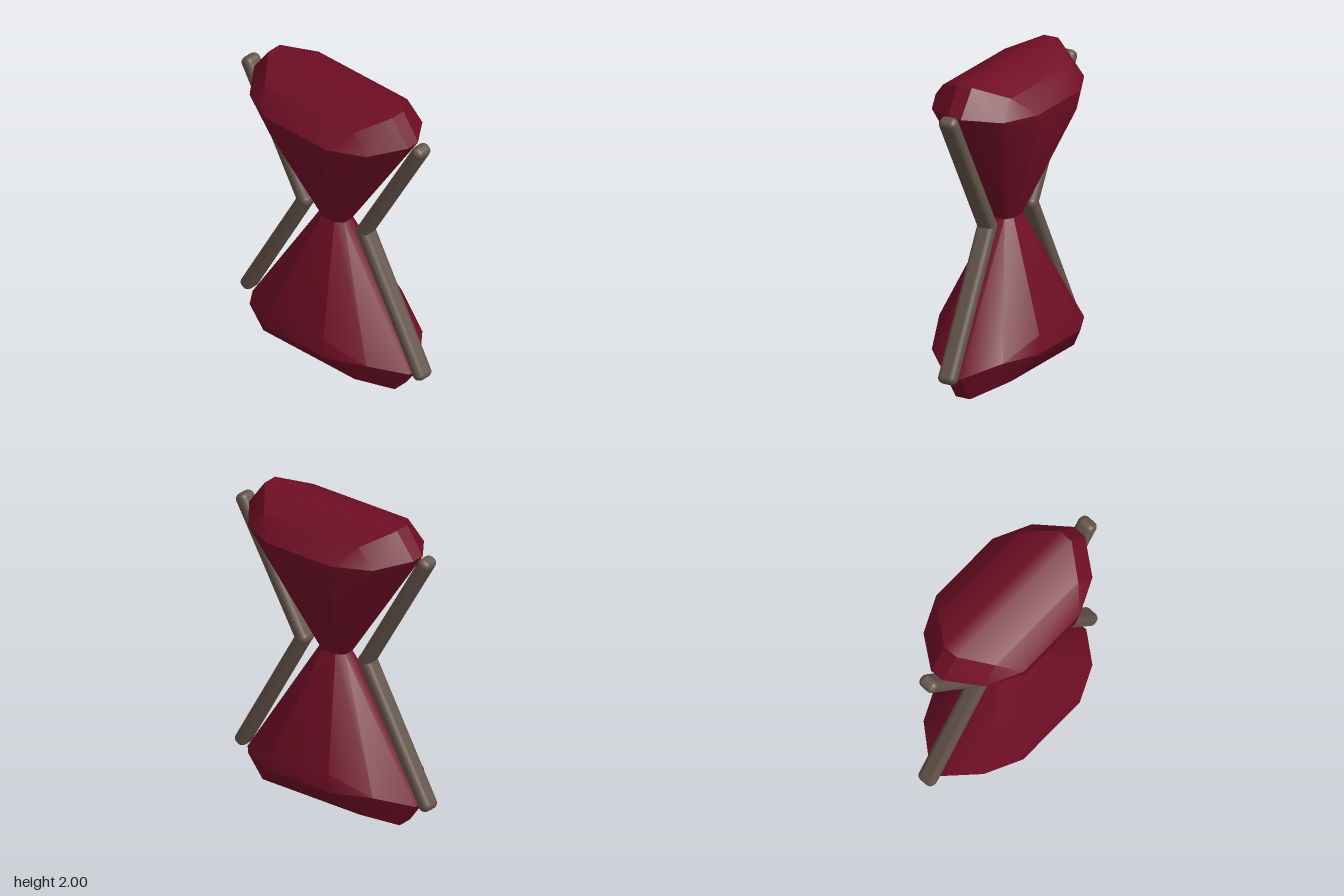
import * as THREE from 'three';
import { ConvexGeometry } from 'three/addons/geometries/ConvexGeometry.js';
import { RoundedBoxGeometry } from 'three/addons/geometries/RoundedBoxGeometry.js';
import { toCreasedNormals } from 'three/addons/utils/BufferGeometryUtils.js';

const WAIST = 1.02;

// Convex bulb from the corners of one quarter, mirrored in x and z
function bulb(corners) {
  const points = [];
  for (const [x, y, z] of corners) {
    for (const sx of [-1, 1]) for (const sz of [-1, 1]) points.push(new THREE.Vector3(sx * x, y, sz * z));
  }
  return toCreasedNormals(new ConvexGeometry(points), 0.5);
}

// Rounded bar between two points in the xy plane
function bar(name, x1, y1, x2, y2, material) {
  const width = 0.085;
  const length = Math.hypot(x2 - x1, y2 - y1) + width;
  const mesh = new THREE.Mesh(new RoundedBoxGeometry(width, length, 0.12, 4, 0.036), material);
  mesh.position.set((x1 + x2) / 2, (y1 + y2) / 2, 0);
  mesh.rotation.z = Math.atan2(x1 - x2, y2 - y1);
  mesh.name = name;
  return mesh;
}

export function createModel() {
  const model = new THREE.Group();
  model.name = 'hourglassModel';
  const crimson = new THREE.MeshStandardMaterial({ color: 0x700e25 });
  crimson.name = 'crimson';
  const taupe = new THREE.MeshStandardMaterial({ color: 0x65554a });
  taupe.name = 'taupe';

  const waistRing = [[0.05, WAIST, 0.07], [0.1, WAIST, 0.035]];

  // Upper bulb: ridge, shoulder, rim, underside, waist
  const upper = new THREE.Mesh(bulb([
    [0.51, 2.0, 0.05], [0.365, 1.92, 0.24],
    [0.25, 1.8, 0.36], [0.48, 1.8, 0.25], [0.633, 1.83, 0.045],
    [0.22, 1.69, 0.352], ...waistRing,
  ]), crimson);
  upper.name = 'upperBulb';

  // Lower bulb, slightly wider
  const lower = new THREE.Mesh(bulb([
    [0.53, 0, 0.05], [0.375, 0.1, 0.24],
    [0.25, 0.255, 0.36], [0.48, 0.25, 0.25], [0.645, 0.16, 0.045],
    [0.22, 0.37, 0.352], ...waistRing,
  ]), crimson);
  lower.name = 'lowerBulb';
  model.add(upper, lower);

  // Bent side brackets
  for (const [name, s] of [['leftBracket', 1], ['rightBracket', -1]]) {
    const bracket = new THREE.Group();
    bracket.name = name;
    bracket.add(
      bar('upperBar', s * 0.243, WAIST, s * 0.697, 1.814, taupe),
      bar('lowerBar', s * 0.243, WAIST, s * 0.705, 0.186, taupe),
    );
    model.add(bracket);
  }
  return model;
}
